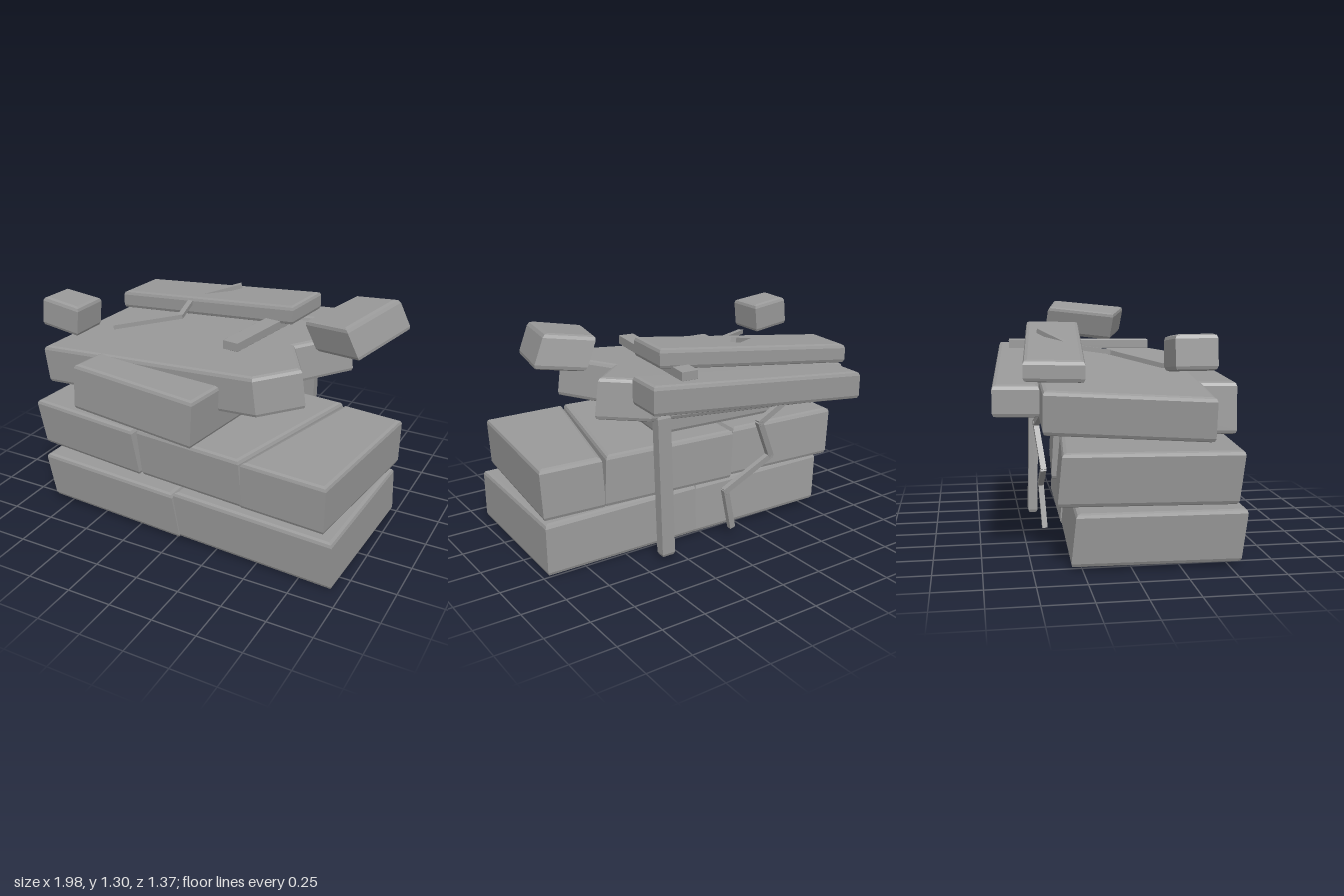
import * as THREE from 'three';

const stone = new THREE.MeshStandardMaterial({ color: 0x999999 });
stone.name = 'grey stone';

// Stone with bevelled edges: footprint of [x, z] corners, y range at x = z = 0,
// slope = rise of y along x and z, lean = drift of x and z with height.
function block(name, corners, y0, y1, { slope = [0, 0], lean = [0, 0], bevel = 0.022 } = {}) {
  const shape = new THREE.Shape(corners.map(([x, z]) => new THREE.Vector2(x, -z)));
  const geo = new THREE.ExtrudeGeometry(shape, {
    depth: y1 - y0 - 2 * bevel, bevelThickness: bevel, bevelSize: bevel,
    bevelOffset: -bevel, bevelSegments: 2
  });
  geo.rotateX(-Math.PI / 2).translate(0, y0 + bevel, 0);
  const p = geo.attributes.position, mid = (y0 + y1) / 2;
  for (let i = 0; i < p.count; i++) {
    const x = p.getX(i), y = p.getY(i), z = p.getZ(i);
    p.setXYZ(i, x + lean[0] * (y - mid), y + slope[0] * x + slope[1] * z, z + lean[1] * (y - mid));
  }
  geo.computeVertexNormals();
  const mesh = new THREE.Mesh(geo, stone);
  mesh.name = name;
  return mesh;
}

// Zigzag of thin straight slivers through points
function crack(name, points, width, thickness, up) {
  const group = new THREE.Group();
  group.name = name;
  const pts = points.map(a => new THREE.Vector3(...a));
  for (let i = 0; i + 1 < pts.length; i++) {
    const a = pts[i], b = pts[i + 1];
    const bar = new THREE.Mesh(new THREE.BoxGeometry(width, thickness, a.distanceTo(b) + width * 0.5), stone);
    bar.name = 'crackSegment';
    bar.up.set(...up);
    bar.position.copy(a).lerp(b, 0.5);
    bar.lookAt(b);
    group.add(bar);
  }
  return group;
}

export function createModel() {
  const model = new THREE.Group();
  model.name = 'ruinedStoneStack';
  model.add(
    // bottom course
    block('bottomLeftBlock', [[-0.86, 0.57], [0.01, 0.61], [0.04, -0.26], [-0.83, -0.3]], 0.015, 0.3,
      { slope: [-0.015, 0], lean: [-0.12, 0.09] }),
    block('bottomRightBlock', [[0.0, 0.6], [0.94, 0.64], [0.97, -0.24], [0.04, -0.27]], 0.02, 0.31,
      { slope: [-0.015, 0], lean: [-0.02, 0.07] }),
    // middle course
    block('middleLeftBlock', [[-0.93, 0.53], [-0.25, 0.59], [-0.18, -0.31], [-0.86, -0.37]], 0.335, 0.615,
      { slope: [-0.012, 0], lean: [-0.13, 0.08] }),
    block('middleCentreBlock', [[-0.235, 0.57], [0.41, 0.62], [0.63, -0.28], [-0.16, -0.34]], 0.335, 0.62,
      { lean: [-0.08, 0.05] }),
    block('middleRightBlock', [[0.41, 0.62], [0.89, 0.645], [0.985, -0.24], [0.635, -0.27]], 0.335, 0.62,
      { slope: [-0.01, 0], lean: [0.03, 0.06] }),
    // upper course and the broken slab across it
    block('upperBlock', [[-0.64, 0.58], [0.155, 0.675], [0.27, -0.22], [-0.53, -0.3]], 0.645, 0.92,
      { slope: [-0.015, 0], lean: [0.06, 0] }),
    block('brokenSlab', [[-0.98, 0.38], [0.4, 0.45], [0.6, 0.27], [0.43, -0.02], [0.66, -0.26],
      [0.42, -0.42], [-0.86, -0.45]], 0.765, 0.99, { slope: [0.085, -0.03], lean: [-0.13, 0] }),
    // long beams at the back
    block('lowerBeam', [[-0.78, -0.69], [0.53, -0.6], [0.51, -0.37], [-0.8, -0.46]], 0.862, 1.022,
      { slope: [0.092, 0] }),
    block('upperBeam', [[-0.8, -0.54], [0.39, -0.44], [0.35, -0.13], [-0.84, -0.24]], 1.05, 1.16,
      { slope: [0.11, 0] }),
    // loose lath and the upright post
    block('lath', [[0.12, 0.255], [0.21, 0.265], [0.33, -0.55], [0.235, -0.555]], 1.05, 1.1, { bevel: 0.002 }),
    block('backPost', [[0.31, -0.385], [0.39, -0.385], [0.39, -0.44], [0.31, -0.44]], 0.025, 0.845,
      { lean: [0.02, 0.02] }),
    // floating chunks
    block('leftChunk', [[-0.975, 0.38], [-0.73, 0.39], [-0.725, 0.17], [-0.96, 0.175]], 0.92, 1.095,
      { slope: [-0.11, 0], lean: [0.1, 0] }),
    block('rightChunk', [[0.56, 0.11], [0.83, 0.215], [0.955, -0.23], [0.695, -0.29]], 0.98, 1.15,
      { slope: [0.16, -0.05], lean: [-0.45, 0.1] }),
    // cracks on the top and back
    crack('topCrack', [[-0.62, 1.02, 0.19], [-0.31, 1.065, -0.03], [-0.35, 1.1, -0.25], [-0.11, 1.17, -0.4]],
      0.03, 0.025, [0, 1, 0]),
    crack('backCrack', [[-0.5, 0.78, -0.42], [-0.27, 0.68, -0.44], [-0.38, 0.45, -0.41], [-0.07, 0.3, -0.4],
      [-0.13, 0.06, -0.385]], 0.035, 0.03, [0, 0, 1])
  );
  return model;
}
